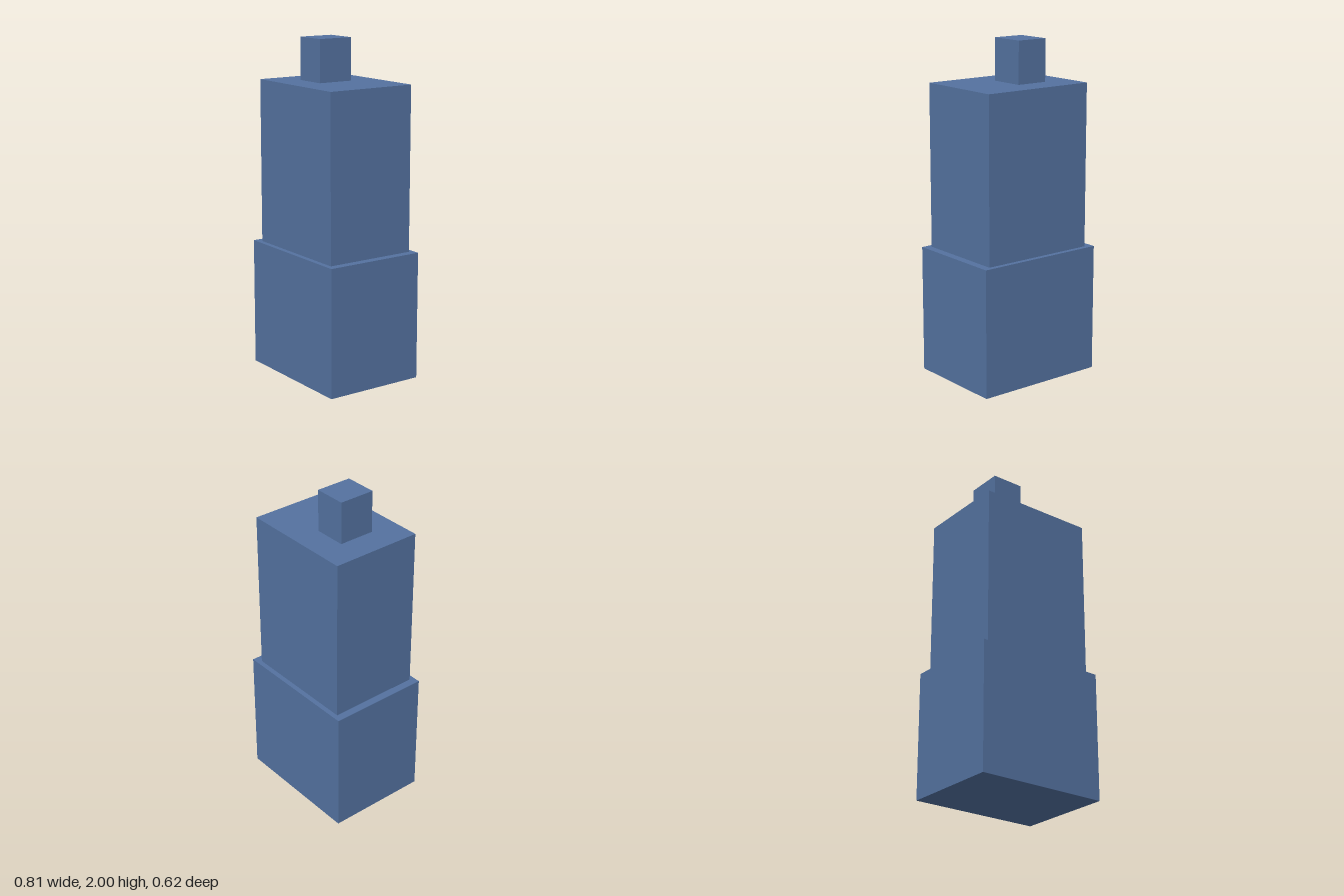
import * as THREE from 'three';

export function createModel() {
  const model = new THREE.Group();
  model.name = 'steppedTower';

  const blue = new THREE.MeshStandardMaterial({ color: 0x5472a0 });
  blue.name = 'slate blue';

  // Adds a box given its bottom, top, width, depth and x offset
  function addTier(name, bottom, top, width, depth, x = 0) {
    const height = top - bottom;
    const mesh = new THREE.Mesh(new THREE.BoxGeometry(width, height, depth), blue);
    mesh.name = name;
    mesh.position.set(x, bottom + height / 2, 0);
    model.add(mesh);
  }

  addTier('baseBlock', 0, 0.767, 0.812, 0.62);
  addTier('upperBlock', 0.767, 1.748, 0.716, 0.56);
  // Small block set off-centre on the roof
  addTier('roofBlock', 1.748, 2, 0.198, 0.22, -0.088);

  return model;
}
